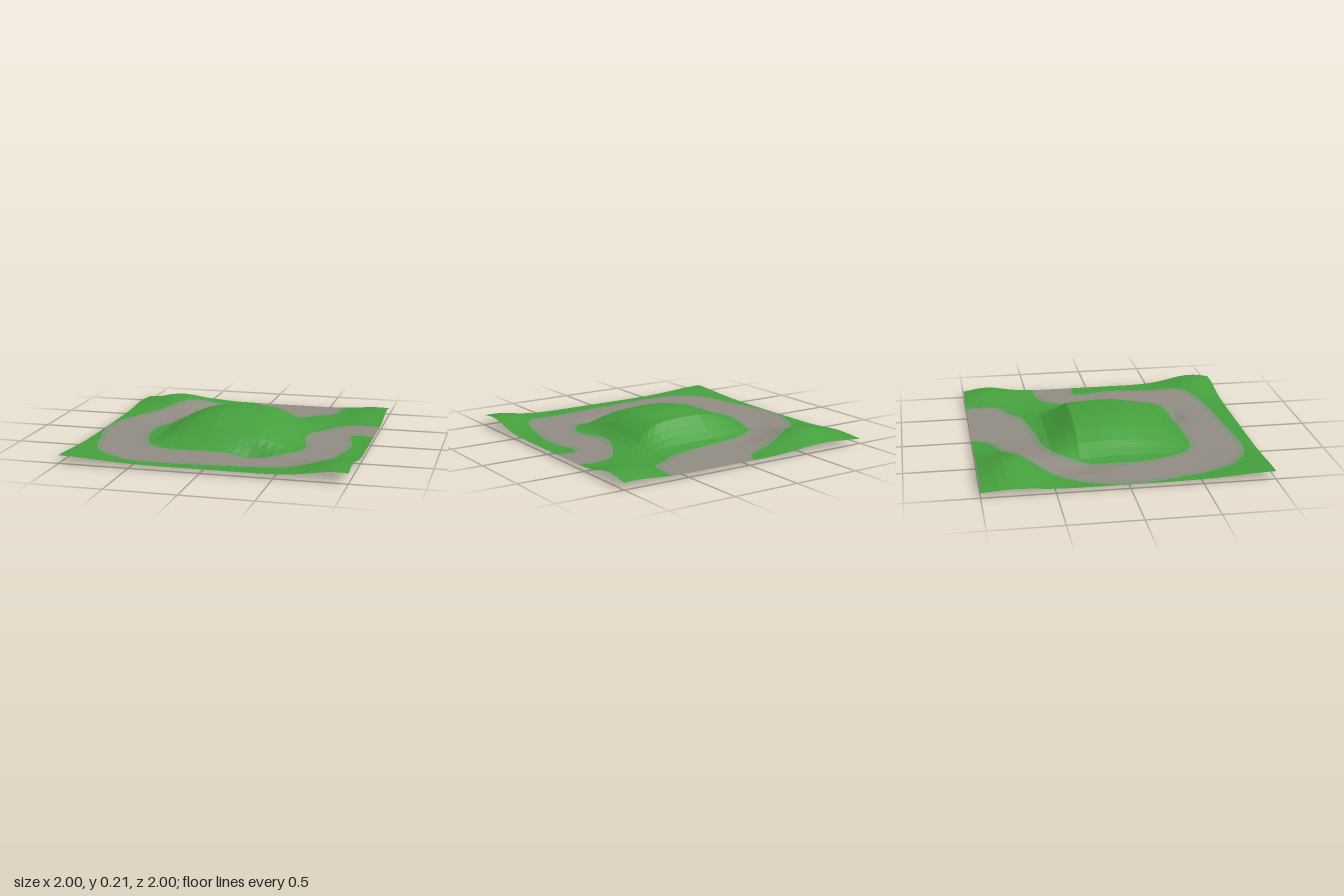
import * as THREE from 'three';

const CELLS = 33;          // visible facets per side
const N = CELLS * 2;       // finer grid used to cut the colour borders
const VERGE = 0.04;        // width of the road's soft edge

// Road outline seen from above as x, z pairs
const OUTLINE = [
  -0.04, -1.1, -0.06, -0.96, -0.13, -0.87, -0.25, -0.83, -0.42, -0.77, -0.6, -0.66, -0.77, -0.5,
  -0.9, -0.33, -0.97, -0.15, -0.995, 0.02, -0.97, 0.2, -0.92, 0.4, -0.87, 0.6, -0.78, 0.76,
  -0.63, 0.87, -0.45, 0.915, -0.25, 0.91, 0, 0.89, 0.25, 0.87, 0.5, 0.84, 0.7, 0.77,
  0.81, 0.63, 0.84, 0.45, 0.88, 0.25, 0.88, 0.1, 0.84, -0.05, 0.85, -0.13, 0.92, -0.14,
  1.1, -0.1, 1.1, -0.43, 1, -0.44, 0.87, -0.45, 0.73, -0.4, 0.62, -0.25, 0.54, -0.08,
  0.53, 0.08, 0.57, 0.22, 0.57, 0.35, 0.5, 0.46, 0.38, 0.53, 0.15, 0.54, -0.2, 0.55,
  -0.35, 0.55, -0.5, 0.48, -0.58, 0.3, -0.62, 0.1, -0.6, -0.1, -0.54, -0.28, -0.43, -0.42,
  -0.25, -0.5, 0, -0.53, 0.2, -0.56, 0.37, -0.6, 0.48, -0.68, 0.6, -0.75, 0.63, -0.85, 0.59, -1.1,
];

// Hill profiles across x and z (position, share of the full height)
const HILL_X = [[-0.6, 0], [-0.5, 0.1], [-0.4, 0.45], [-0.25, 0.83], [-0.1, 0.99], [0.05, 1],
  [0.2, 0.95], [0.3, 0.82], [0.4, 0.5], [0.48, 0.17], [0.55, 0.03], [0.62, 0]];
const HILL_Z = [[-0.55, 0], [-0.45, 0.15], [-0.35, 0.55], [-0.28, 0.9], [-0.05, 1], [0.1, 0.97],
  [0.3, 0.74], [0.42, 0.42], [0.48, 0.1], [0.53, 0]];

// Smaller mounds and hollows: x, z, height, spread in x, spread in z
const BUMPS = [
  [-0.65, -0.77, 0.092, 0.2, 0.15],
  [0.93, 0.85, 0.068, 0.17, 0.17],
  [0.92, -0.82, 0.05, 0.15, 0.14],
  [-1, 1, 0.028, 0.25, 0.25],
  [0.24, 0.53, -0.037, 0.09, 0.06],
  [-0.62, -0.25, -0.025, 0.08, 0.1],
];

function profile(points, t) {
  if (t <= points[0][0] || t >= points[points.length - 1][0]) return 0;
  const k = points.findIndex((p) => p[0] > t);
  const [a, b] = [points[k - 1], points[k]];
  return a[1] + (b[1] - a[1]) * (t - a[0]) / (b[0] - a[0]);
}

function height(x, z) {
  let y = 0.04 + 0.18 * profile(HILL_X, x) * profile(HILL_Z, z);
  for (const [bx, bz, h, sx, sz] of BUMPS) {
    y += h * Math.exp(-(((x - bx) / sx) ** 2 + ((z - bz) / sz) ** 2) / 2);
  }
  return Math.max(0, y);
}

// Signed distance to the road outline, negative on the road
function makeRoadDistance() {
  const pts = [];
  for (let i = 0; i < OUTLINE.length; i += 2) pts.push(new THREE.Vector3(OUTLINE[i], 0, OUTLINE[i + 1]));
  const line = new THREE.CatmullRomCurve3(pts, true).getPoints(240);
  return (x, z) => {
    let best = Infinity, inside = false;
    for (let i = 0; i < line.length - 1; i++) {
      const a = line[i], b = line[i + 1];
      const dx = b.x - a.x, dz = b.z - a.z;
      const t = THREE.MathUtils.clamp(((x - a.x) * dx + (z - a.z) * dz) / (dx * dx + dz * dz || 1), 0, 1);
      best = Math.min(best, Math.hypot(x - a.x - t * dx, z - a.z - t * dz));
      if ((a.z > z) !== (b.z > z) && x < a.x + dx * (z - a.z) / dz) inside = !inside;
    }
    return inside ? -best : best;
  };
}

// Keep the part of a polygon of [x, y, z, distance] points where sign * (distance - level) >= 0
function clip(poly, level, sign) {
  const out = [];
  poly.forEach((a, i) => {
    const b = poly[(i + 1) % poly.length];
    const da = sign * (a[3] - level), db = sign * (b[3] - level);
    if (da >= 0) out.push(a);
    if ((da >= 0) !== (db >= 0)) out.push(a.map((v, k) => v + (b[k] - v) * da / (da - db)));
  });
  return out;
}

export function createModel() {
  const group = new THREE.Group();
  group.name = 'terrain';
  const distance = makeRoadDistance();

  // Grid points; in-between points lie on the flat facets of the coarse grid
  const at = (i) => -1 + 2 * i / N;
  const grid = [];
  for (let j = 0; j <= N; j++) {
    for (let i = 0; i <= N; i++) {
      const a = i % 2, b = j % 2;
      const y = (height(at(i - a), at(j + b)) + height(at(i + a), at(j - b))) / 2;
      grid.push([at(i), y, at(j), distance(at(i), at(j))]);
    }
  }

  // Cut every triangle along the road borders and sort the pieces by colour
  const pieces = { grass: [], verge: [], road: [] };
  const add = (list, poly) => {
    for (let k = 1; k < poly.length - 1; k++) {
      for (const p of [poly[0], poly[k], poly[k + 1]]) list.push(p[0], p[1], p[2]);
    }
  };
  for (let j = 0; j < N; j++) {
    for (let i = 0; i < N; i++) {
      const o = j * (N + 1) + i;
      const [p, q, r, s] = [grid[o], grid[o + 1], grid[o + N + 1], grid[o + N + 2]];
      for (const tri of [[p, r, q], [q, r, s]]) {
        add(pieces.grass, clip(tri, 0, 1));
        add(pieces.verge, clip(clip(tri, 0, -1), -VERGE, 1));
        add(pieces.road, clip(tri, -VERGE, -1));
      }
    }
  }

  // One flat-shaded surface for each colour
  const colors = { grass: 0x45a03d, verge: 0x81917a, road: 0x918c83 };
  for (const [name, positions] of Object.entries(pieces)) {
    const geometry = new THREE.BufferGeometry();
    geometry.setAttribute('position', new THREE.Float32BufferAttribute(positions, 3));
    geometry.computeVertexNormals();
    const material = new THREE.MeshStandardMaterial({ color: colors[name], flatShading: true, side: THREE.DoubleSide });
    material.name = name;
    const mesh = new THREE.Mesh(geometry, material);
    mesh.name = name;
    group.add(mesh);
  }
  return group;
}
